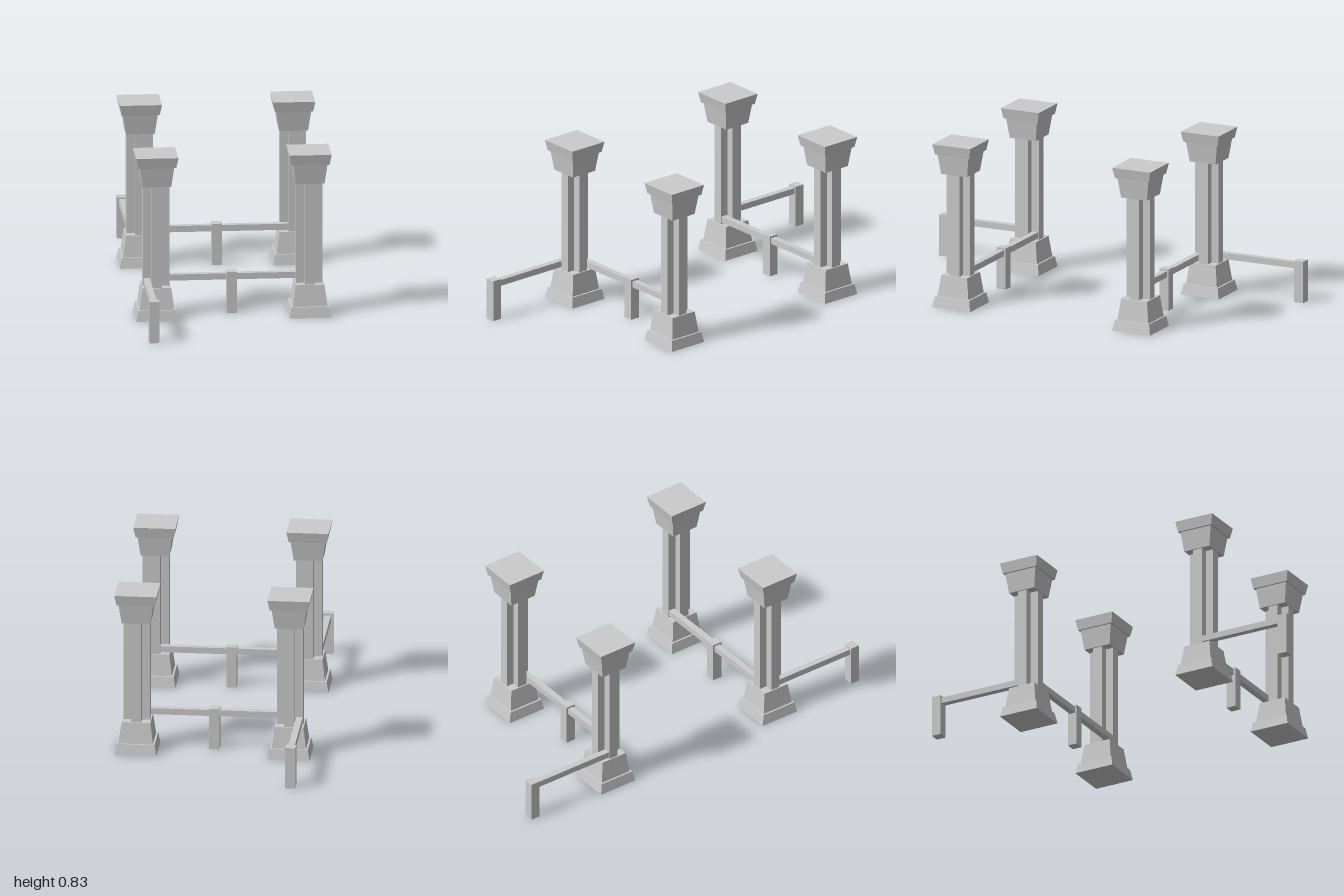
import * as THREE from 'three';

const material = new THREE.MeshStandardMaterial({ color: 0xcccccc, flatShading: true });
const COLUMN_X = 0.378, COLUMN_Z = 0.494, RAIL_OFFSET = 0.047;

function add(parent, name, geometry, x = 0, y = 0, z = 0) {
  const mesh = new THREE.Mesh(geometry, material);
  mesh.name = name;
  mesh.position.set(x, y, z);
  parent.add(mesh);
}

// Square block whose sides slope from one half-width to another
function taperedBlock(y0, y1, halfBottom, halfTop) {
  const g = new THREE.CylinderGeometry(halfTop * Math.SQRT2, halfBottom * Math.SQRT2, y1 - y0, 4);
  return g.rotateY(Math.PI / 4).translate(0, (y0 + y1) / 2, 0);
}

// Upright prism with a plus-shaped section
function crossShaft(y0, y1, arm, half) {
  const quarter = [[arm, -half], [arm, half], [half, half]];
  const points = [];
  for (let i = 0; i < 4; i++) {
    for (const [x, y] of quarter) {
      points.push(new THREE.Vector2(x, y).rotateAround(new THREE.Vector2(), i * Math.PI / 2));
    }
  }
  const g = new THREE.ExtrudeGeometry(new THREE.Shape(points), { depth: y1 - y0, bevelEnabled: false });
  return g.rotateX(-Math.PI / 2).translate(0, y0, 0);
}

function createColumn() {
  const column = new THREE.Group();
  column.name = 'column';
  add(column, 'plinth', taperedBlock(0, 0.053, 0.104, 0.094));
  add(column, 'base', taperedBlock(0.053, 0.16, 0.085, 0.071));
  add(column, 'shaft', crossShaft(0.16, 0.675, 0.065, 0.025));
  add(column, 'capital', taperedBlock(0.675, 0.777, 0.071, 0.085));
  add(column, 'capitalTop', taperedBlock(0.777, 0.83, 0.094, 0.104));
  return column;
}

export function createModel() {
  const model = new THREE.Group();
  model.name = 'columnsWithRailings';
  const post = new THREE.BoxGeometry(0.05, 0.21, 0.05);

  for (const side of [1, -1]) {
    // Pair of columns
    for (const x of [-COLUMN_X, COLUMN_X]) {
      const column = createColumn();
      column.position.set(x, 0, side * COLUMN_Z);
      model.add(column);
    }

    // Rail between the columns, with a post in the middle
    const railZ = side * (COLUMN_Z - RAIL_OFFSET);
    add(model, 'crossRail', new THREE.BoxGeometry(2 * COLUMN_X, 0.031, 0.032), 0, 0.185, railZ);
    add(model, 'middlePost', post, 0, 0.105, railZ);

    // Rail running outwards to an end post
    const railX = -COLUMN_X - RAIL_OFFSET;
    const length = 0.975 - COLUMN_Z;
    add(model, 'outerRail', new THREE.BoxGeometry(0.032, 0.031, length), railX, 0.185, side * (COLUMN_Z + length / 2));
    add(model, 'endPost', post, railX, 0.105, side * 0.975);
  }
  return model;
}
